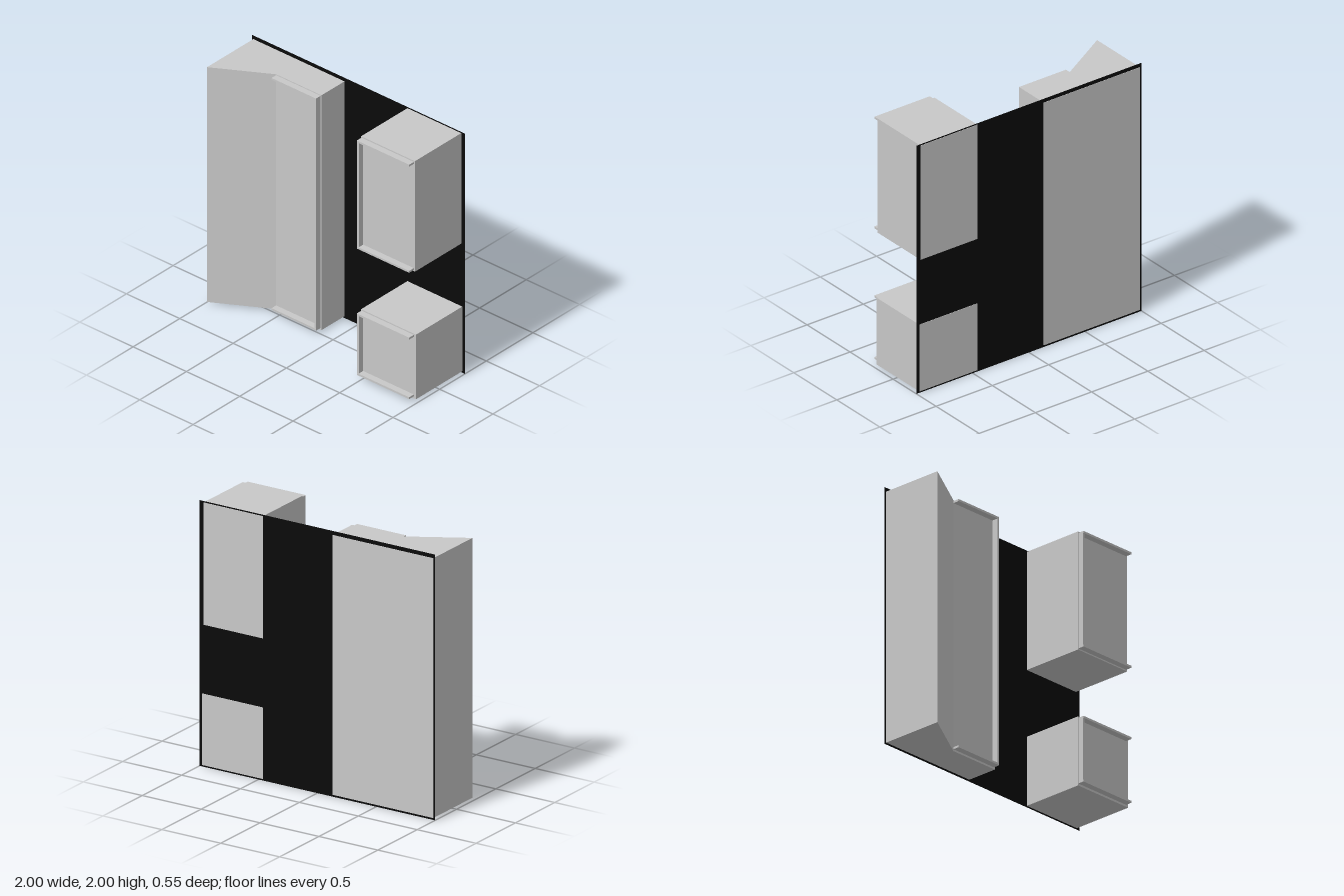
import * as THREE from 'three';

export function createModel() {
  const model = new THREE.Group();
  const grey = new THREE.MeshStandardMaterial({ color: 0xc8c8c8 });
  grey.name = 'light grey';
  const black = new THREE.MeshStandardMaterial({ color: 0x0a0a0a, side: THREE.DoubleSide });
  black.name = 'black';

  const BACK = -0.275;

  // Box given by its limits on each axis
  function box(name, x0, x1, y0, y1, z0, z1, parent = model) {
    const mesh = new THREE.Mesh(new THREE.BoxGeometry(x1 - x0, y1 - y0, z1 - z0), grey);
    mesh.position.set((x0 + x1) / 2, (y0 + y1) / 2, (z0 + z1) / 2);
    mesh.name = name;
    parent.add(mesh);
  }

  // Three-sided raised rim: top and bottom rails and one upright
  function rim(name, x0, x1, y0, y1, z, uprightX) {
    const group = new THREE.Group();
    group.name = name;
    const t = 0.016;
    box('topRail', x0, x1, y1 - t, y1, z, z + 0.05, group);
    box('bottomRail', x0, x1, y0, y0 + t, z, z + 0.05, group);
    box('upright', uprightX, uprightX + t, y0 + t, y1 - t, z, z + 0.047, group);
    model.add(group);
  }

  // Thin black backing sheet
  const sheet = new THREE.Mesh(new THREE.PlaneGeometry(2, 2), black);
  sheet.position.set(0, 1, BACK + 0.003);
  sheet.name = 'backingSheet';
  model.add(sheet);

  // Tall block with a slanted wing, drawn as a plan and extruded upwards
  const plan = [[-0.985, BACK], [-0.13, BACK], [-0.13, -0.025], [-0.555, -0.025], [-0.985, 0.225]];
  const shape = new THREE.Shape(plan.map(([x, z]) => new THREE.Vector2(x, -z)));
  const tallGeometry = new THREE.ExtrudeGeometry(shape, { depth: 1.955, bevelEnabled: false });
  tallGeometry.rotateX(-Math.PI / 2);
  const tall = new THREE.Mesh(tallGeometry, grey);
  tall.position.y = 0.015;
  tall.name = 'tallBlock';
  model.add(tall);
  rim('tallRim', -0.555, -0.138, 0.03, 1.963, -0.025, -0.154);

  // Upper and lower blocks
  box('upperBlock', 0.46, 0.965, 1.07, 1.99, BACK, 0.225);
  rim('upperRim', 0.464, 0.955, 1.08, 1.98, 0.225, 0.464);
  box('lowerBlock', 0.46, 0.975, 0.012, 0.55, BACK, 0.225);
  rim('lowerRim', 0.464, 0.955, 0.028, 0.54, 0.225, 0.464);

  return model;
}
